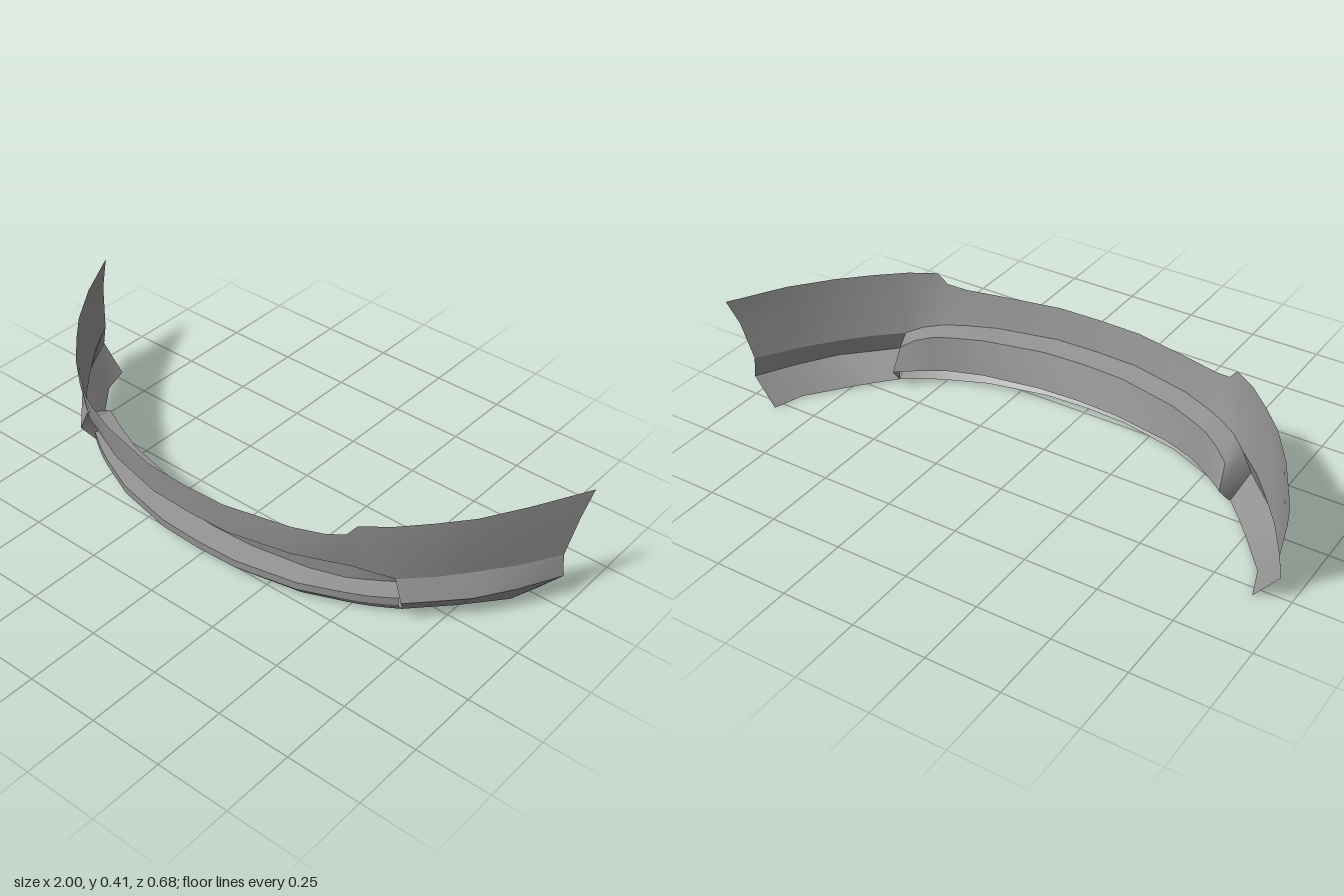
import * as THREE from 'three';

// Cross-section lines of the left (+x) half, each running from the centre outward.
const topEdge = [[0, .314, .34], [.15, .315, .335], [.37, .318, .286], [.47, .325, .253], [.53, .34, .23], [.56, .379, .216],
  [.64, .384, .16], [.73, .389, .07], [.81, .393, -.02], [.9, .402, -.155], [1, .405, -.34]];
const crease = [[0, .2, .325], [.15, .2, .32], [.36, .2, .272], [.47, .2, .225], [.53, .197, .195], [.59, .185, .165],
  [.64, .165, .127], [.725, .167, .045], [.8, .169, -.045], [.88, .17, -.15], [.96, .172, -.28]];
const ridge = [[.67, .09, .135], [.74, .091, .063], [.82, .093, -.02], [.895, .094, -.135], [.97, .096, -.277]];
const hem = [[.635, .007, .075], [.7, .006, .005], [.748, .004, -.048], [.855, .002, -.18], [.89, 0, -.283]];
const recessRim = [[0, .195, .242], [.15, .195, .235], [.36, .195, .187], [.47, .195, .14], [.52, .192, .115],
  [.57, .18, .085], [.615, .15, .06], [.62, .07, .02], [.63, .015, .065]];
const recessFoot = [[0, .07, .21], [.15, .07, .203], [.35, .07, .168], [.46, .07, .13], [.51, .07, .1],
  [.56, .07, .067], [.6, .07, .037], [.62, .07, .02]];
const lipEdge = [[0, .065, .293], [.15, .065, .287], [.36, .066, .243], [.46, .067, .2], [.51, .068, .178],
  [.56, .068, .152], [.6, .069, .127], [.638, .07, .102]];

const material = new THREE.MeshStandardMaterial({ color: 0x959595, side: THREE.DoubleSide });

const flip = ([x, y, z]) => [-x, y, z];
// Completes a half line that starts on the centre plane.
const whole = (line) => [...line.slice(1).reverse().map(flip), ...line];

// Skins neighbouring lines that have the same number of points.
function loft(name, lines) {
  const n = lines[0].length;
  const index = [];
  for (let r = 0; r < lines.length - 1; r++) {
    for (let i = 0; i < n - 1; i++) {
      const a = r * n + i, b = a + n;
      index.push(a, b, a + 1, a + 1, b, b + 1);
    }
  }
  const geometry = new THREE.BufferGeometry();
  geometry.setAttribute('position', new THREE.Float32BufferAttribute(lines.flat(2), 3));
  geometry.setIndex(index);
  geometry.computeVertexNormals();
  const mesh = new THREE.Mesh(geometry, material);
  mesh.name = name;
  return mesh;
}

export function createModel() {
  const group = new THREE.Group();
  group.name = 'frontBumper';

  // Upper skin, slightly bowed outward between its two edges
  const belly = topEdge.map(([x, y, z], i) => {
    const [cx, cy, cz] = crease[i];
    return [x + (cx - x) * .4, y + (cy - y) * .4, z + (cz - z) * .4 + .012 * x * x];
  });
  group.add(loft('upperSkin', [topEdge, belly, crease].map(whole)));

  // Corner skirts: a band flaring out to the ridge, then tucking in to the hem
  const cornerTop = crease.slice(6);
  for (const [side, place] of [['left', (p) => p], ['right', flip]]) {
    group.add(loft(side + 'CornerBand', [cornerTop, ridge].map((l) => l.map(place))));
    group.add(loft(side + 'CornerSkirt', [ridge, hem].map((l) => l.map(place))));
  }

  // Air intake: surround running inward from the opening, and its back panel
  const opening = [...crease.slice(0, 7), ridge[0], hem[0]];
  group.add(loft('intakeSurround', [opening, recessRim].map(whole)));
  group.add(loft('intakeBackPanel', [recessRim.slice(0, 8), recessFoot].map(whole)));

  // Lower lip: shelf, upright front edge and undercut meeting the skirt hem
  const lipFront = lipEdge.map(([x, y, z]) => [x, y - .029, z - .002]);
  const lipHem = [...lipEdge.slice(0, -1).map(([x, , z]) => [x, .01 - .004 * x, z - .028]), hem[0]];
  group.add(loft('lipShelf', [recessFoot, lipEdge].map(whole)));
  group.add(loft('lipFront', [lipEdge, lipFront].map(whole)));
  group.add(loft('lipUndercut', [lipFront, lipHem].map(whole)));

  return group;
}
